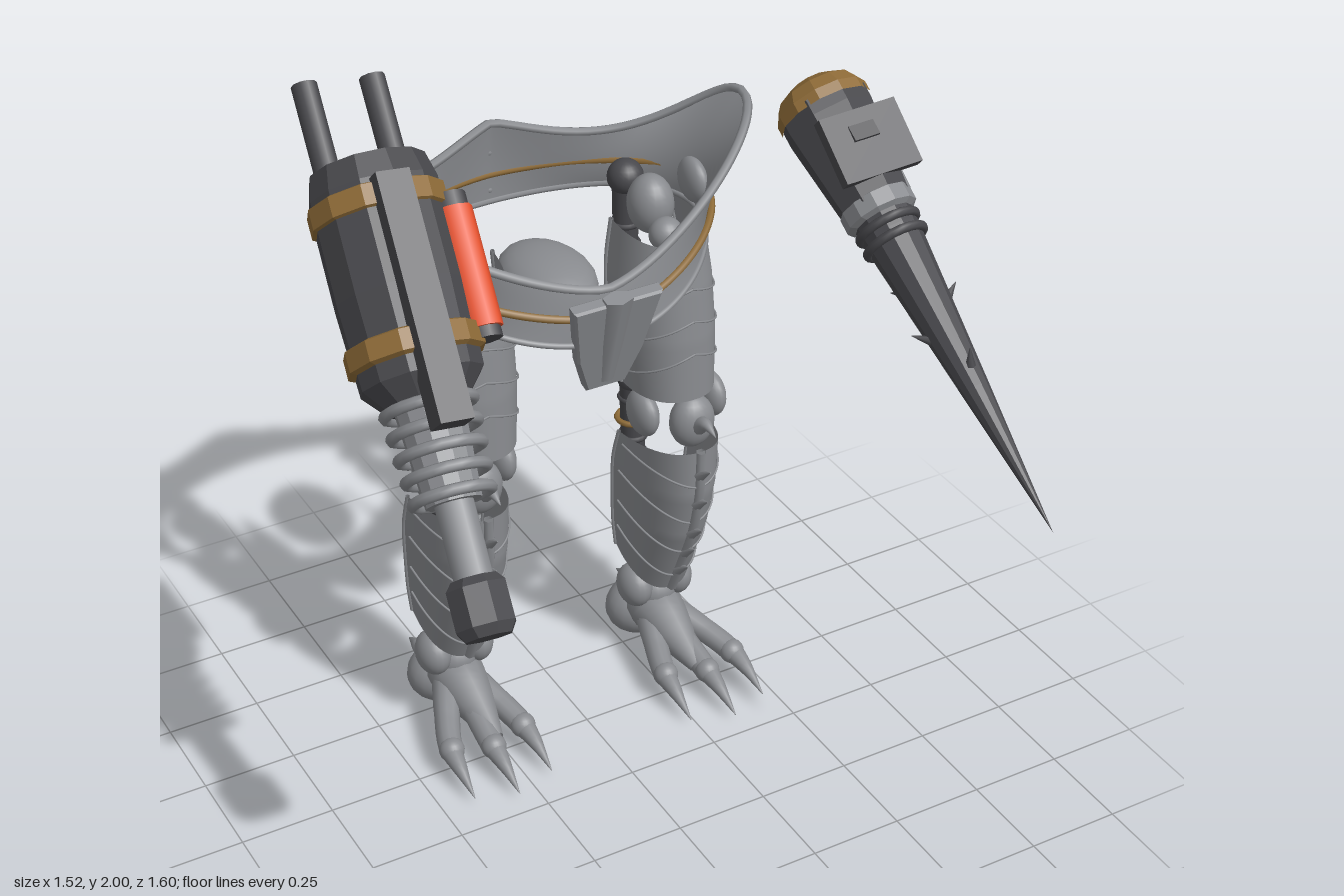
import * as THREE from 'three';
import { ParametricGeometry } from 'three/addons/geometries/ParametricGeometry.js';

const mat = (name, color, side = THREE.FrontSide) => {
  const m = new THREE.MeshStandardMaterial({ color, side });
  m.name = name;
  return m;
};
const V = (x, y, z) => new THREE.Vector3(x, y, z);
const UP = V(0, 1, 0);

export function createModel() {
  const grey = mat('grey metal', 0x898b8f, THREE.DoubleSide);
  const dark = mat('dark metal', 0x48484c);
  const gold = mat('bronze trim', 0x8f6c38);
  const orange = mat('orange cell', 0xe8532f);
  const model = new THREE.Group();
  model.name = 'walkerLegs';

  // Helpers
  const add = (parent, name, geo, material, x = 0, y = 0, z = 0) => {
    const m = new THREE.Mesh(geo, material);
    m.name = name;
    m.position.set(x, y, z);
    parent.add(m);
    return m;
  };
  const flat = (g) => {
    const f = g.toNonIndexed();
    f.computeVertexNormals();
    return f;
  };
  const blob = (p, name, material, x, y, z, rx, ry = rx, rz = rx) =>
    add(p, name, new THREE.SphereGeometry(1, 20, 14).scale(rx, ry, rz), material, x, y, z);
  // cylinder or cone running from a (radius ra) to b (radius rb)
  const rod = (p, name, material, a, b, ra, rb = ra, sides = 14) => {
    const d = b.clone().sub(a);
    const m = add(p, name, new THREE.CylinderGeometry(rb, ra, d.length(), sides), material);
    m.position.copy(a).addScaledVector(d, 0.5);
    m.quaternion.setFromUnitVectors(UP, d.normalize());
    return m;
  };
  const tube = (p, name, material, pts, r, closed = false) =>
    add(p, name, new THREE.TubeGeometry(new THREE.CatmullRomCurve3(pts, closed), closed ? 96 : 20, r, 6, closed), material);
  // tube whose radius follows a list of radii along the curve
  const taper = (p, name, material, pts, radii) => {
    const curve = new THREE.CatmullRomCurve3(pts);
    const geo = new ParametricGeometry((u, v, t) => {
      const k = v * (radii.length - 1), i = Math.min(Math.floor(k), radii.length - 2);
      const r = THREE.MathUtils.lerp(radii[i], radii[i + 1], k - i);
      const c = curve.getPoint(v), d = curve.getTangent(v);
      const n = V(0, 1, 0).addScaledVector(d, -d.y).normalize();
      const s = n.clone().cross(d);
      const a = u * Math.PI * 2;
      t.copy(c).addScaledVector(n, r * Math.sin(a)).addScaledVector(s, r * Math.cos(a));
    }, 12, 16);
    return add(p, name, geo, material);
  };

  // Waist: flared ring with raised pointed sides
  const CX = 0.02;
  const waist = new THREE.Group();
  waist.name = 'waist';
  waist.position.x = CX;
  model.add(waist);
  const beltPoint = (u, v, t = V()) => {
    const a = u * Math.PI * 2, c = Math.cos(a), s = Math.sin(a), c2 = c * c;
    const top = s > 0 ? 1.39 + 0.26 * Math.pow(Math.abs(c), 2.5)
      : 1.56 + 0.09 * c2 * c2 - 0.3 * c2 * (1 - c2);
    const low = (s > 0 ? 1.255 : 1.33) + (s > 0 ? 0.115 : 0.04) * c2;
    const w = 0.41 + 0.14 * v * v, d = 0.32 - 0.015 * v * v;
    return t.set(Math.sign(c) * w * Math.pow(Math.abs(c), 1 + 0.6 * v), low + (top - low) * v, -0.46 + d * s);
  };
  const loop = (f) => Array.from({ length: 48 }, (_, i) => f(i / 48));
  add(waist, 'beltShell', new ParametricGeometry((u, v, t) => beltPoint(u, v, t), 96, 12), grey);
  tube(waist, 'beltRim', grey, loop((u) => beltPoint(u, 1)), 0.012, true);
  tube(waist, 'beltHem', grey, loop((u) => beltPoint(u, 0)), 0.008, true);
  tube(waist, 'beltTrim', gold, loop((u) => {
    const p = beltPoint(u, 0.35), n = V(p.x, 0, p.z + 0.46).normalize();
    const s = Math.sin(u * Math.PI * 2);
    p.y = s > 0 ? 1.325 + 0.105 * (1 - s * s) : 1.405 + 0.025 * (1 - s * s);
    return p.addScaledVector(n, 0.006);
  }), 0.01, true);
  for (const [y, z] of [[1.535, -0.782], [1.47, -0.787], [1.36, -0.792]]) blob(waist, 'backStud', grey, 0, y, z, 0.014);
  blob(waist, 'abdomen', grey, 0, 1.265, -0.47, 0.115, 0.065, 0.165);

  // Front plate hanging from the belt
  const plate = new THREE.Shape([[-0.115, 0.27], [0.115, 0.27], [0.085, 0.1], [0.05, 0], [-0.05, 0], [-0.085, 0.1]]
    .map(([x, y]) => new THREE.Vector2(x, y)));
  const frontPlate = add(waist, 'frontPlate',
    new THREE.ExtrudeGeometry(plate, { depth: 0.025, bevelSize: 0.006, bevelThickness: 0.006, bevelSegments: 1 }), grey, 0, 1.12, -0.195);
  frontPlate.rotation.x = 0.25;
  const ridge = rod(waist, 'plateRidge', grey, V(0, 1.13, -0.17), V(0, 1.39, -0.105), 0.025, 0.042, 6);
  ridge.scale.z = 0.6;

  // Half-round armour shell from rows of [front y, half width, front z, back z, back y];
  // side gives the inner direction, where the back edge is cut short by trim
  const shellPoint = (rows, cx, side, trim) => (u, v, t = V(), lift = 0) => {
    const k = v * (rows.length - 1), i = Math.min(Math.floor(k), rows.length - 2), f = k - i;
    const [y, w, zf, zb, yb] = rows[i].map((q, j) => q + (rows[i + 1][j] - q) * f);
    const a = (u - 0.5) * Math.PI, c = Math.pow(Math.max(Math.cos(a), 0), 0.85);
    const x = Math.sign(a) * Math.pow(Math.abs(Math.sin(a)), 0.85) * (w + lift);
    const back = a * side > 0 ? zb + trim * (1 - v * 0.6) : zb;
    return t.set(cx + x, yb + (y - yb) * c, back + (zf + lift - back) * c);
  };
  const thighRows = [[1.37, 0.125, -0.27, -0.60, 1.40], [1.25, 0.14, -0.25, -0.575, 1.25],
    [1.10, 0.138, -0.235, -0.52, 1.10], [0.94, 0.122, -0.23, -0.455, 0.945]];
  const shinRows = [[0.78, 0.115, -0.22, -0.45, 0.75], [0.65, 0.116, -0.225, -0.48, 0.65],
    [0.50, 0.11, -0.26, -0.495, 0.53], [0.37, 0.103, -0.315, -0.505, 0.43], [0.255, 0.095, -0.365, -0.505, 0.345]];

  const buildLeg = (s) => {
    const leg = new THREE.Group();
    leg.name = s > 0 ? 'leftLeg' : 'rightLeg';
    leg.position.x = CX + s * 0.307;
    model.add(leg);
    const thigh = shellPoint(thighRows, -s * 0.016, -s, 0.16);
    const shin = shellPoint(shinRows, 0, -s, 0);
    const shell = (name, fn, ridges, sweep) => {
      add(leg, name, new ParametricGeometry((u, v, t) => fn(u, v, t), 28, 16), grey);
      for (const h of ridges) for (const side of [-1, 1]) {
        tube(leg, name + 'Ridge', grey, Array.from({ length: 8 }, (_, i) =>
          fn(0.5 + side * 0.47 * (i / 7), h + sweep * (1 - i / 7), V(), 0.003)), 0.003);
      }
      for (const u of [0, 1]) tube(leg, name + 'Edge', grey, [0, 0.25, 0.5, 0.75, 1].map((v) => fn(u, v)), 0.006);
    };
    shell('thigh', thigh, [0.5, 0.7, 0.9], -0.18);
    shell('shin', shin, [0.08, 0.3, 0.52, 0.74], 0.14);
    // hip
    blob(leg, 'hipJoint', grey, s * 0.1, 1.44, -0.45, 0.03, 0.06, 0.06);
    blob(leg, 'hipSocket', grey, 0, 1.38, -0.49, 0.06, 0.08, 0.065);
    blob(leg, 'hipLobe', grey, 0, 1.33, -0.41, 0.045);
    // shin crest with thorns
    tube(leg, 'shinCrest', grey, [0, 0.25, 0.5, 0.75, 1].map((v) => shin(0.5, v)), 0.014);
    for (const v of [0.14, 0.32, 0.5, 0.66, 0.82]) {
      const p = shin(0.5, v);
      rod(leg, 'shinThorn', grey, p, p.clone().add(V(0, 0.035, 0.05)), 0.018, 0.001, 8);
    }
    // knee
    blob(leg, 'kneeCap', grey, 0, 0.85, -0.27, 0.062, 0.075, 0.05);
    for (const k of [-1, 1]) blob(leg, 'kneeSide', grey, k * 0.1, 0.86, -0.35, 0.035, 0.064, 0.064);
    taper(leg, 'kneeSpike', grey, [V(0, 0.85, -0.24), V(0, 0.875, -0.2), V(0, 0.865, -0.15)], [0.026, 0.017, 0.001]);
    // rear pistons
    const px = -s * 0.022;
    blob(leg, 'pistonTop', dark, px, 1.42, -0.58, 0.048);
    rod(leg, 'upperPiston', dark, V(px, 1.42, -0.58), V(px, 1.04, -0.58), 0.036, 0.03);
    rod(leg, 'upperPistonRod', grey, V(px, 1.06, -0.58), V(px, 0.85, -0.52), 0.018);
    rod(leg, 'lowerPiston', dark, V(px, 0.86, -0.54), V(px, 0.47, -0.54), 0.038, 0.03);
    blob(leg, 'lowerPistonTop', dark, px, 0.84, -0.54, 0.043);
    rod(leg, 'lowerPistonRod', grey, V(px, 0.5, -0.54), V(px, 0.24, -0.545), 0.015);
    const ring = (y, z, r, m) =>
      add(leg, 'pistonRing', new THREE.TorusGeometry(r, 0.008, 6, 18).rotateX(Math.PI / 2), m, px, y, z);
    for (const y of [1.29, 1.23, 1.17, 1.11]) ring(y, -0.58, 0.033, dark);
    for (const y of [0.78, 0.66, 0.6, 0.54]) ring(y, -0.54, 0.035, dark);
    ring(0.715, -0.54, 0.043, gold);
    // ankle and foot
    for (const k of [-1, 1]) blob(leg, 'ankle', grey, k * 0.062, 0.222, -0.46, 0.046, 0.062, 0.062);
    blob(leg, 'ankleCore', grey, 0, 0.19, -0.46, 0.06);
    blob(leg, 'heel', grey, 0, 0.085, -0.54, 0.1, 0.085, 0.085);
    taper(leg, 'instep', grey, [V(0, 0.10, -0.56), V(0, 0.13, -0.44), V(0, 0.105, -0.34), V(0, 0.075, -0.22)], [0.06, 0.075, 0.055, 0.02]);
    taper(leg, 'heelClaw', grey, [V(s * 0.02, 0.1, -0.60), V(s * 0.02, 0.1, -0.65), V(s * 0.02, 0.085, -0.71)], [0.03, 0.02, 0.001]);
    for (const [x, z] of [[0.13, -0.09], [0.02, -0.05], [-0.095, -0.09]]) {
      const toe = (f, y, dz) => V(s * x * f, y, z + dz);
      taper(leg, 'toe', grey, [toe(0.2, 0.125, -0.36), toe(0.65, 0.095, -0.25), toe(0.92, 0.07, -0.16), toe(0.98, 0.055, -0.09), toe(1, 0.02, 0)],
        [0.045, 0.034, 0.032, 0.02, 0.001]);
      blob(leg, 'knuckle', grey, s * x * 0.93, 0.07, z - 0.15, 0.034);
    }
  };
  buildLeg(1);
  buildLeg(-1);

  // Floating tools: local +y points to the rear, so a part at distance d sits at y = -d
  const tool = (name, rear, tip) => {
    const g = new THREE.Group();
    g.name = name;
    g.position.copy(rear);
    g.quaternion.setFromUnitVectors(UP, rear.clone().sub(tip).normalize());
    model.add(g);
    const turned = (part, material, prof, sides) => add(g, part,
      flat(new THREE.LatheGeometry(prof.map(([r, d]) => new THREE.Vector2(r, -d)), sides)), material);
    return [g, turned];
  };

  // Cannon
  const [gun, gunTurn] = tool('cannon', V(-0.563, 1.842, -0.208), V(-0.667, 1.075, 0.55));
  gunTurn('cannonBody', dark, [[0, 0.56], [0.09, 0.56], [0.142, 0.5], [0.15, 0.3], [0.15, 0.06], [0.135, 0], [0, -0.015]], 12);
  for (const d of [0.1, 0.43])
    gunTurn('cannonBand', gold, [[0.14, d + 0.032], [0.159, d + 0.024], [0.159, d - 0.024], [0.14, d - 0.032]], 12);
  for (const x of [-0.082, 0.082]) rod(gun, 'rearPipe', dark, V(x, -0.03, -0.03), V(x, 0.222, -0.035), 0.03, 0.03, 10);
  add(gun, 'topRail', new THREE.BoxGeometry(0.08, 0.57, 0.07), dark, -0.015, -0.35, 0.145);
  gunTurn('neckCore', grey, [[0, 0.78], [0.065, 0.78], [0.08, 0.54], [0, 0.54]], 12);
  for (let i = 0; i < 5; i++)
    add(gun, 'neckRing', new THREE.TorusGeometry(0.101 - i * 0.003, 0.014, 8, 20).rotateX(Math.PI / 2), grey, 0, -0.56 - i * 0.051, 0);
  rod(gun, 'pistonRod', grey, V(0, -0.72, 0), V(0, -0.98, 0), 0.045);
  gunTurn('muzzle', dark, [[0, 1.085], [0.055, 1.085], [0.072, 1.06], [0.072, 0.97], [0.055, 0.95], [0, 0.95]], 8);
  rod(gun, 'energyCell', orange, V(0.148, -0.14, 0.06), V(0.148, -0.42, 0.06), 0.046, 0.046, 10);
  for (const d of [0.125, 0.425]) rod(gun, 'cellCap', dark, V(0.146, -d + 0.02, 0.057), V(0.146, -d - 0.02, 0.057), 0.042, 0.042, 10);
  add(gun, 'cellMount', new THREE.BoxGeometry(0.06, 0.3, 0.08), dark, 0.11, -0.275, 0.03);

  // Drill
  const [drill, drillTurn] = tool('drill', V(0.622, 1.715, -0.165), V(0.666, 1.04, 0.795));
  drillTurn('drillBody', dark, [[0, 0.28], [0.09, 0.28], [0.117, 0.04], [0.117, 0], [0, 0]], 8);
  drillTurn('drillCap', gold, [[0.119, 0.015], [0.119, -0.012], [0.1, -0.045], [0.06, -0.068], [0, -0.076]], 12);
  const face = add(drill, 'bodyPlate', new THREE.BoxGeometry(0.215, 0.17, 0.03), dark, 0.008, -0.155, 0.092);
  face.rotation.x = 0.13;
  add(drill, 'plateLatch', new THREE.BoxGeometry(0.07, 0.04, 0.02), dark, 0, -0.13, 0.106);
  drillTurn('drillCollar', grey, [[0.07, 0.32], [0.092, 0.31], [0.092, 0.27], [0.07, 0.26]], 12);
  for (const d of [0.34, 0.38])
    add(drill, 'drillRing', new THREE.TorusGeometry(0.074, 0.012, 8, 18).rotateX(Math.PI / 2), dark, 0, -d, 0);
  drillTurn('drillSpike', dark, [[0, 1.176], [0.035, 0.79], [0.072, 0.36], [0.078, 0.26], [0, 0.26]], 12);
  rod(drill, 'sideRod', grey, V(0.114, 0.0, -0.02), V(0.098, -0.26, -0.01), 0.016);
  rod(drill, 'sidePipe', dark, V(0.105, -0.06, -0.06), V(0.075, 0.09, -0.06), 0.012);
  blob(drill, 'rodJoint', grey, 0.11, 0, -0.02, 0.024);
  // thorns along the spike
  [[0.56, 0.2], [0.64, 3.3], [0.5, 4.4], [0.74, 1.6], [0.82, 5.2]].forEach(([d, a]) => {
    const r = 0.072 - (d - 0.36) * 0.085, x = Math.cos(a), z = Math.sin(a);
    rod(drill, 'thorn', dark, V(x * r * 0.8, -d, z * r * 0.8), V(x * (r + 0.03), -d + 0.03, z * (r + 0.03)), 0.013, 0.001, 6);
  });
  return model;
}
